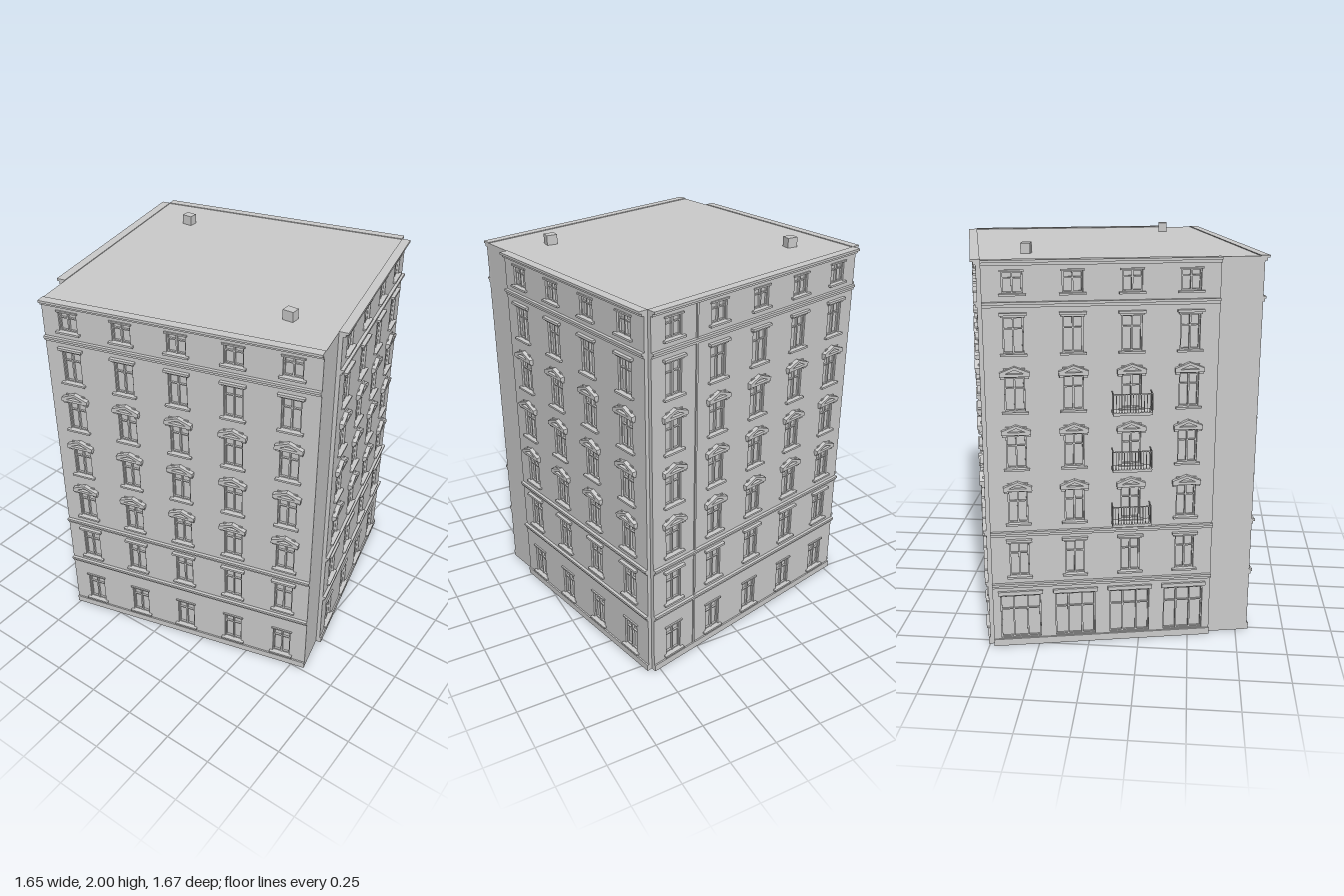
import * as THREE from 'three';
import { mergeGeometries } from 'three/addons/utils/BufferGeometryUtils.js';

const grey = new THREE.MeshStandardMaterial({ color: 0xcccccc, flatShading: true, side: THREE.DoubleSide });

// Building corners on the ground plan (x, z), a slightly skewed block
const A = [-0.52, 0.79], B = [0.815, 0.455], C = [0.537, -0.79], D = [-0.78, -0.48];
const HEIGHT = 1.95, PANEL = 0.02;

// Storeys: window bottom, window top, kind of head
const STOREYS = [
  [0.06, 0.23, 'plain'],
  [0.385, 0.562, 'lintel'],
  [0.67, 0.835, 'pediment'],
  [0.955, 1.12, 'pediment'],
  [1.24, 1.405, 'pediment'],
  [1.52, 1.69, 'lintel'],
  [1.8, 1.9, 'plain'],
];
const WINDOW_W = 0.094;

// Box given by its centre in u, and ranges in height and depth
function block(u, width, y0, y1, w0, w1) {
  return new THREE.BoxGeometry(width, y1 - y0, w1 - w0).translate(u, (y0 + y1) / 2, (w0 + w1) / 2);
}

function polygon(points, Type = THREE.Shape) {
  return new Type(points.map(([x, y]) => new THREE.Vector2(x, y)));
}

function rect(u, width, y0, y1, Type) {
  const h = width / 2;
  return polygon([[u - h, y0], [u + h, y0], [u + h, y1], [u - h, y1]], Type);
}

function addMesh(group, name, geometries) {
  if (!geometries.length) return;
  const list = geometries.map((g) => (g.index ? g.toNonIndexed() : g));
  const mesh = new THREE.Mesh(mergeGeometries(list), grey);
  mesh.name = name;
  group.add(mesh);
}

// Casement frame with a mullion and a transom
function windowFrame(u, width, y0, y1, mullions = [0]) {
  const t = 0.006, d = 0.01, cross = y0 + (y1 - y0) * 0.68;
  const parts = [
    block(u, width, y0, y0 + t, 0, d), block(u, width, y1 - t, y1, 0, d),
    block(u, width, cross - t / 2, cross + t / 2, 0, d),
  ];
  for (const s of [-1, 1]) parts.push(block(u + s * (width - t) / 2, t, y0, y1, 0, d));
  for (const m of mullions) parts.push(block(u + m, t * 1.3, y0, y1, 0, d + 0.003));
  return parts;
}

// Gabled window head with a recessed middle
function pediment(u, y) {
  const outer = polygon([[-0.07, 0.008], [0.07, 0.008], [0.07, 0.028], [0, 0.056], [-0.07, 0.028]]);
  outer.holes.push(polygon([[-0.045, 0.022], [0.045, 0.022], [0, 0.042]], THREE.Path));
  const head = new THREE.ExtrudeGeometry(outer, { depth: 0.022, bevelEnabled: false }).translate(u, y, PANEL);
  const parts = [head, block(u, 0.1, y + 0.012, y + 0.045, PANEL - 0.004, PANEL + 0.006)];
  for (const s of [-1, 1]) parts.push(block(u + s * 0.056, 0.022, y - 0.004, y + 0.008, PANEL, PANEL + 0.014));
  return parts;
}

// Two-step moulding running along a facade
function moulding(u0, u1, y, out) {
  const u = (u0 + u1) / 2, len = u1 - u0;
  return [block(u, len, y - 0.014, y, 0, PANEL + out * 0.5), block(u, len, y, y + 0.012, 0, PANEL + out)];
}

// Balcony slab with a railing of thin bars
function balcony(group, u, y, name) {
  const w = 0.19, out = 0.085, h = 0.088, bars = [];
  const slab = [block(u, w, y - 0.014, y, PANEL, out)];
  bars.push(block(u, w, y + h, y + h + 0.005, out - 0.005, out));
  for (let i = 0; i <= 14; i++) {
    bars.push(block(u - w / 2 + 0.0015 + (i * (w - 0.003)) / 14, 0.003, y, y + h, out - 0.004, out - 0.001));
  }
  for (const s of [-1, 1]) {
    const e = u + s * (w / 2 - 0.002);
    bars.push(block(e, 0.004, y + h, y + h + 0.005, PANEL, out));
    for (let i = 1; i < 5; i++) {
      const z = PANEL + (i * (out - PANEL)) / 5;
      bars.push(block(e, 0.003, y, y + h, z - 0.0015, z + 0.0015));
    }
  }
  addMesh(group, name + 'Slab', slab);
  addMesh(group, name + 'Railing', bars);
}

// One side: plain wall from P to Q, with a decorated facade between u0 and u1
function buildSide(name, P, Q, { u0 = 0, u1, columns, shopfront = false }) {
  const dx = Q[0] - P[0], dz = Q[1] - P[1], length = Math.hypot(dx, dz);
  const end = u1 ?? length, mid = (u0 + end) / 2, span = end - u0;
  const side = new THREE.Group();
  side.name = name;
  side.position.set(P[0], 0, P[1]);
  side.rotation.y = Math.atan2(-dz, dx);

  const wall = new THREE.PlaneGeometry(length, HEIGHT).translate(length / 2, HEIGHT / 2, 0);
  const panel = rect(mid, span, 0, 1.935);
  const frames = [], sills = [], heads = [];

  STOREYS.forEach(([y0, y1, kind], floor) => {
    for (const u of columns) {
      // Wide ground-floor openings on the shop side
      if (shopfront && floor === 0) {
        panel.holes.push(rect(u, 0.2, 0.04, 0.272, THREE.Path));
        frames.push(...windowFrame(u, 0.2, 0.04, 0.272, [-0.035, 0.035]));
        heads.push(block(u, 0.225, 0.282, 0.302, PANEL, PANEL + 0.012));
        continue;
      }
      panel.holes.push(rect(u, WINDOW_W, y0, y1, THREE.Path));
      frames.push(...windowFrame(u, WINDOW_W, y0, y1));
      sills.push(block(u, 0.125, y0 - 0.01, y0, PANEL, PANEL + 0.016));
      if (kind === 'plain') heads.push(block(u, 0.112, y1, y1 + 0.008, PANEL, PANEL + 0.008));
      if (kind === 'lintel') {
        heads.push(block(u, 0.112, y1, y1 + 0.01, PANEL, PANEL + 0.008));
        heads.push(block(u, 0.128, y1 + 0.01, y1 + 0.022, PANEL, PANEL + 0.018));
      }
      if (kind === 'pediment') heads.push(...pediment(u, y1));
    }
  });

  addMesh(side, 'wall', [wall]);
  addMesh(side, 'facade', [new THREE.ExtrudeGeometry(panel, { depth: PANEL, bevelEnabled: false })]);
  addMesh(side, 'windowFrames', frames);
  addMesh(side, 'windowSills', sills);
  addMesh(side, 'windowHeads', heads);
  addMesh(side, 'plinth', [block(mid, span, 0, 0.036, PANEL - 0.002, PANEL + 0.008)]);
  addMesh(side, 'bands', [0.335, 0.615, 1.75].flatMap((y) => moulding(u0, end, y, 0.016)));
  addMesh(side, 'cornice', moulding(u0, end, 1.942, 0.025));
  return side;
}

export function createModel() {
  const model = new THREE.Group();
  model.name = 'apartmentBuilding';

  const five = (len) => [0, 1, 2, 3, 4].map((i) => len * (0.096 + i * 0.2015));
  const frontLen = Math.hypot(B[0] - A[0], B[1] - A[1]);
  const backLen = Math.hypot(D[0] - C[0], D[1] - C[1]);
  const four = [0.14, 0.416, 0.692, 0.968];
  const rightLen = Math.hypot(C[0] - B[0], C[1] - B[1]);

  const front = buildSide('frontSide', A, B, { columns: five(frontLen) });
  const leftFlank = buildSide('leftSide', B, C, { u0: 0.18, columns: four.map((u) => rightLen - u).reverse() });
  const back = buildSide('backSide', C, D, { columns: five(backLen) });
  const rightFlank = buildSide('rightSide', D, A, { u1: 1.107, columns: four, shopfront: true });

  // Narrow strip between the first two window columns at the back
  addMesh(back, 'verticalStrip', [block(backLen * 0.197, 0.01, 0, 1.935, PANEL, PANEL + 0.007)]);

  // Balconies above each other
  [0.665, 0.95, 1.235].forEach((y, i) => balcony(rightFlank, four[2], y, 'balcony' + (i + 1)));
  model.add(front, leftFlank, back, rightFlank);

  // Flat roof
  const roof = new THREE.ShapeGeometry(polygon([A, B, C, D].map(([x, z]) => [x, -z])));
  addMesh(model, 'roof', [roof.rotateX(-Math.PI / 2).translate(0, HEIGHT, 0)]);

  // Chimneys
  for (const [x, z] of [[-0.51, -0.315], [0.537, 0.3]]) {
    addMesh(model, 'chimney', [new THREE.BoxGeometry(0.055, 0.06, 0.046).translate(x, 1.97, z)]);
  }
  return model;
}
